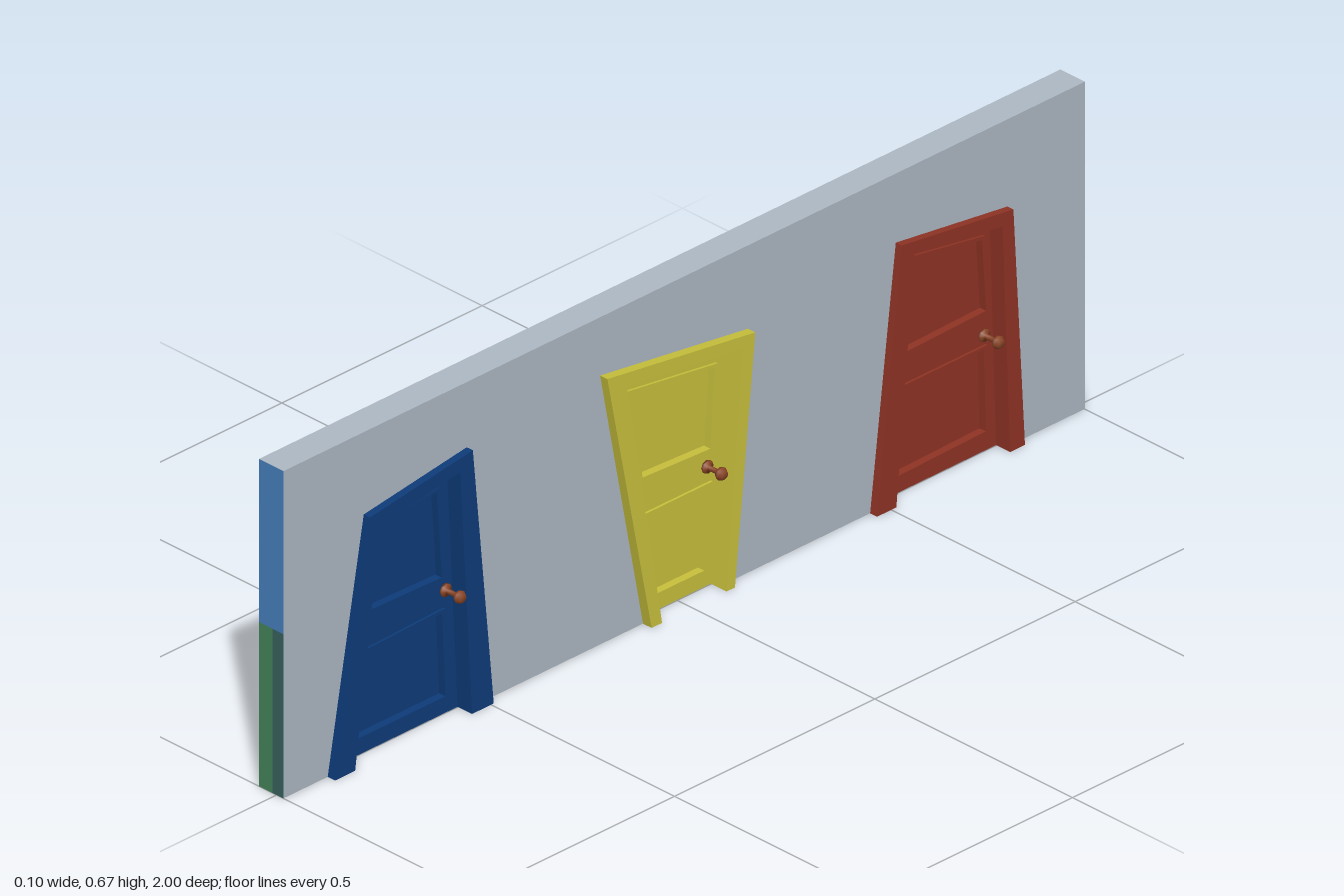
import * as THREE from 'three';

const mat = (name, color, side = THREE.FrontSide) => {
  const m = new THREE.MeshStandardMaterial({ color, side });
  m.name = name;
  return m;
};

const WALL_BACK = -0.044, WALL_FRONT = 0.018, HEIGHT = 0.668, SPLIT = 0.335, SEAM = -0.01;

// Each quad lists [z, y] corners: bottom -z, bottom +z, top +z, top -z
const DOORS = [
  {
    name: 'redDoor', color: 'red', front: 0.034, knob: [-0.764, 0.238],
    outer: [[-0.833, 0], [-0.464, 0], [-0.528, 0.527], [-0.807, 0.49]],
    inner: [[-0.796, 0], [-0.512, 0], [-0.56, 0.497], [-0.78, 0.466]],
    panels: [
      [[-0.775, 0.035], [-0.528, 0.03], [-0.544, 0.217], [-0.77, 0.217]],
      [[-0.775, 0.281], [-0.555, 0.276], [-0.571, 0.474], [-0.764, 0.442]],
    ],
  },
  {
    name: 'yellowDoor', color: 'yellow', front: 0.038, knob: [-0.073, 0.244],
    outer: [[-0.105, 0], [0.103, 0], [0.21, 0.549], [-0.159, 0.498]],
    inner: [[-0.084, 0], [0.077, 0], [0.162, 0.517], [-0.127, 0.477]],
    panels: [
      [[-0.068, 0.03], [0.066, 0.03], [0.087, 0.211], [-0.084, 0.211]],
      [[-0.086, 0.272], [0.098, 0.281], [0.132, 0.479], [-0.097, 0.447]],
    ],
  },
  {
    name: 'blueDoor', color: 'blue', front: 0.035, knob: [0.58, 0.252],
    outer: [[0.494, 0], [0.89, 0], [0.8, 0.5], [0.543, 0.535]],
    inner: [[0.548, 0], [0.84, 0], [0.775, 0.47], [0.575, 0.503]],
    panels: [
      [[0.574, 0.03], [0.815, 0.03], [0.789, 0.211], [0.583, 0.217]],
      [[0.585, 0.276], [0.783, 0.281], [0.753, 0.447], [0.598, 0.47]],
    ],
  },
];

const shapeOf = (pts) => new THREE.Shape(pts.map(([z, y]) => new THREE.Vector2(z, y)));
const holeOf = (pts) => new THREE.Path(pts.map(([z, y]) => new THREE.Vector2(z, y)));

// Extrudes a z-y outline between two x positions
function slab(name, shape, x0, x1, material) {
  const g = new THREE.ExtrudeGeometry(shape, { depth: x1 - x0, bevelEnabled: false });
  g.rotateY(-Math.PI / 2).translate(x1, 0, 0);
  const mesh = new THREE.Mesh(g, material);
  mesh.name = name;
  return mesh;
}

// Blends two quads corner by corner
const blend = (a, b, t) => a.map(([z, y], i) => [z + (b[i][0] - z) * t, y + (b[i][1] - y) * t]);

// Moves every corner of a quad a little towards its centre
function inset(q, t) {
  const c = [0, 1].map((k) => q.reduce((s, p) => s + p[k], 0) / 4);
  return q.map(([z, y]) => [z + (c[0] - z) * t, y + (c[1] - y) * t]);
}

function buildDoor(d, mats) {
  const door = new THREE.Group();
  door.name = d.name;
  const m = mats[d.color];

  // Crooked frame around the opening, slightly thicker towards the floor
  const [ob, oa, ot, os] = d.outer, [ib, ia, it, is] = d.inner;
  const frame = slab('frame', shapeOf([ia, oa, ot, os, ob, ib, is, it]), -0.046, d.front, m);
  const p = frame.geometry.attributes.position;
  for (let i = 0; i < p.count; i++) p.setX(i, p.getX(i) * (1.05 - 0.17 * p.getY(i)));
  frame.geometry.computeVertexNormals();
  door.add(frame);

  // Door leaf with two sunken panels
  const leaf = shapeOf(d.inner);
  d.panels.forEach((q) => leaf.holes.push(holeOf(q)));
  door.add(slab('leaf', leaf, -0.02, 0, m));
  door.add(slab('leafBack', shapeOf(d.inner), -0.034, -0.02, m));
  d.panels.forEach((q) => {
    const rim = shapeOf(q);
    rim.holes.push(holeOf(inset(q, 0.08)));
    door.add(slab('panelMoulding', rim, -0.02, 0.005, m));
    door.add(slab('panelField', shapeOf(inset(q, 0.14)), -0.02, -0.004, m));
  });

  // Faceted knob on a round rose
  const profile = [[0, 0], [0.013, 0], [0.013, 0.005], [0.005, 0.008], [0.005, 0.028],
    [0.012, 0.034], [0.013, 0.04], [0.008, 0.047], [0, 0.047]];
  const kg = new THREE.LatheGeometry(profile.map(([r, h]) => new THREE.Vector2(r, h)), 8);
  kg.rotateZ(-Math.PI / 2);
  const knob = new THREE.Mesh(kg, mats.brown);
  knob.name = 'knob';
  knob.position.set(0, d.knob[1], d.knob[0]);
  door.add(knob);
  return door;
}

export function createModel() {
  const model = new THREE.Group();
  model.name = 'wallWithDoors';
  const mats = {
    grey: mat('wallGrey', 0xadb8c3),
    sky: mat('endBlue', 0x4580bb),
    green: mat('endGreen', 0x44855a),
    teal: mat('endTeal', 0x38625f),
    navy: mat('endNavy', 0x0a0840),
    brown: mat('brown', 0x8a4526),
    purple: mat('basePurple', 0x5c1050),
    red: mat('doorRed', 0x8f3324),
    yellow: mat('doorYellow', 0xc8c03c),
    blue: mat('doorBlue', 0x0d3b78),
  };

  // Wall outline with a notch for every door
  const outline = [[-1, 0]];
  const feet = [-1];
  for (const d of DOORS) {
    const [b, a, t, s] = blend(d.outer, d.inner, 0.4);
    outline.push(b, s, t, a);
    feet.push(b[0], a[0]);
  }
  outline.push([1, 0], [1, HEIGHT], [-1, HEIGHT]);
  feet.push(1);
  model.add(slab('wall', shapeOf(outline), WALL_BACK, WALL_FRONT, mats.grey));

  // Coloured faces on the two ends of the wall
  const endFace = (name, x0, x1, y0, y1, dir, m) => {
    const face = new THREE.Mesh(new THREE.PlaneGeometry(x1 - x0, y1 - y0), m);
    face.name = name;
    face.position.set((x0 + x1) / 2, (y0 + y1) / 2, dir * 1.0006);
    if (dir < 0) face.rotation.y = Math.PI;
    model.add(face);
  };
  endFace('frontEndUpper', WALL_BACK, WALL_FRONT, SPLIT, HEIGHT, 1, mats.sky);
  endFace('frontEndLower', WALL_BACK, SEAM, 0, SPLIT, 1, mats.green);
  endFace('frontEndLowerStrip', SEAM, WALL_FRONT, 0, SPLIT, 1, mats.teal);
  endFace('backEndLower', WALL_BACK, WALL_FRONT, 0, SPLIT, -1, mats.navy);

  // Two-tone underside between the doors
  for (let i = 0; i < feet.length; i += 2) {
    const z0 = feet[i], z1 = feet[i + 1];
    for (const [x0, x1, m] of [[WALL_BACK, SEAM, mats.purple], [SEAM, WALL_FRONT, mats.brown]]) {
      const base = new THREE.Mesh(new THREE.PlaneGeometry(x1 - x0, z1 - z0), m);
      base.name = 'wallUnderside';
      base.rotation.x = Math.PI / 2;
      base.position.set((x0 + x1) / 2, -0.0006, (z0 + z1) / 2);
      model.add(base);
    }
  }

  DOORS.forEach((d) => model.add(buildDoor(d, mats)));
  return model;
}
